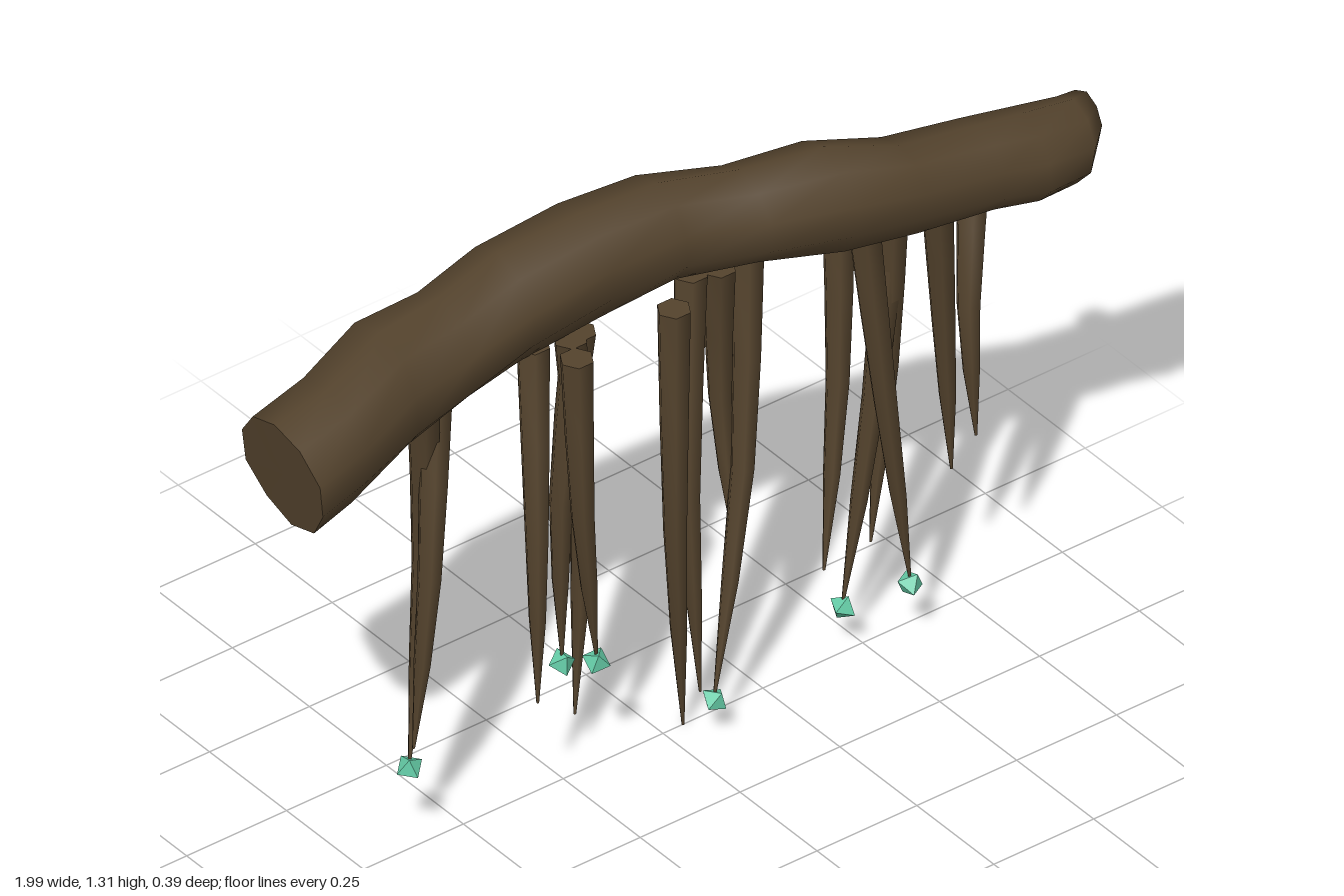
import * as THREE from 'three';

const bark = new THREE.MeshStandardMaterial({ color: 0x54432d });
bark.name = 'bark brown';
const jade = new THREE.MeshStandardMaterial({ color: 0x64cba6 });
jade.name = 'jade green';

// Skin a list of rings; place(ring, cos, sin, side) gives each corner.
function loft(rings, sides, place) {
  const pos = [], index = [];
  rings.forEach((ring, i) => {
    for (let j = 0; j < sides; j++) {
      const a = (j / sides) * Math.PI * 2;
      pos.push(...place(ring, Math.cos(a), Math.sin(a), j));
      if (i === rings.length - 1) continue;
      const p = i * sides + j, q = i * sides + ((j + 1) % sides);
      index.push(p, q, p + sides, q, q + sides, p + sides);
    }
  });
  const g = new THREE.BufferGeometry();
  g.setAttribute('position', new THREE.Float32BufferAttribute(pos, 3));
  g.setIndex(index);
  g.computeVertexNormals();
  return g;
}

// Log sections: x, centre y, centre z, radius
const logSections = [
  [-0.975, 1.097, 0.03, 0.132],
  [-0.85, 1.115, 0.012, 0.13],
  [-0.68, 1.14, -0.04, 0.132],
  [-0.52, 1.155, -0.054, 0.12],
  [-0.36, 1.183, -0.072, 0.125],
  [-0.16, 1.205, -0.066, 0.118],
  [0.02, 1.212, -0.05, 0.109],
  [0.2, 1.19, -0.008, 0.106],
  [0.37, 1.188, 0.04, 0.12],
  [0.54, 1.155, 0.068, 0.1],
  [0.72, 1.134, 0.085, 0.096],
  [0.82, 1.122, 0.102, 0.1],
  [0.935, 1.106, 0.098, 0.09],
  [0.985, 1.125, 0.083, 0.062],
];

// Hanging roots: x at top, middle and tip, y of tip, z at top, middle and tip
const gemRoots = [
  [-0.6, -0.565, -0.635, 0.22, 0, -0.045, 0],
  [-0.27, -0.255, -0.19, 0.3, 0.07, 0.07, 0.03],
  [-0.21, -0.248, -0.23, 0.28, 0, -0.01, -0.03],
  [0.235, 0.18, 0.075, 0.11, -0.03, 0.025, 0.07],
  [0.45, 0.505, 0.58, 0.16, 0.07, 0.07, 0.05],
  [0.58, 0.52, 0.45, 0.13, 0, 0.01, 0],
];
const bareRoots = [
  [-0.545, -0.608, -0.64, 0.27, -0.03, 0.03, 0.02],
  [-0.31, -0.355, -0.36, 0.28, -0.02, 0.05, 0.06],
  [-0.24, -0.173, -0.19, 0.12, 0.01, -0.04, -0.04],
  [-0.015, -0.02, 0.05, 0.01, 0.055, 0.065, 0],
  [0.085, 0.04, 0.07, 0.1, -0.02, 0.03, 0.03],
  [0.14, 0.162, 0.165, 0.41, 0, -0.025, 0.02],
  [0.47, 0.445, 0.38, 0.26, -0.04, -0.01, 0.03],
  [0.56, 0.56, 0.52, 0.25, 0.02, 0, 0],
  [0.65, 0.695, 0.73, 0.33, 0.045, 0.01, -0.01],
  [0.81, 0.73, 0.745, 0.44, -0.035, 0.045, 0.05],
];

// Crooked log: sharp cut at the thick end, rounded at the thin end
function logGeometry() {
  const first = logSections[0], last = logSections[logSections.length - 1];
  const closed = ([x, y, z]) => [x, y, z, 0];
  const rings = [closed(first), first, ...logSections, closed(last)];
  return loft(rings, 10, ([x, y, z, r], c, s, j) => {
    const lean = x < -0.95 ? -0.16 : x > 0.9 ? 0.2 : 0;
    const bump = 1 + 0.035 * Math.sin(j * 2.3 + x * 9);
    return [x + lean * r * c, y + r * c * bump, z + r * s * bump];
  });
}

// Bowed root tapering to a point, with a flat closed top
function rootGeometry([xTop, xMid, xTip, yTip, zTop, zMid, zTip]) {
  const yTop = 1.09;
  const path = new THREE.CatmullRomCurve3([
    new THREE.Vector3(xTop, yTop, zTop),
    new THREE.Vector3(xMid, (yTop + yTip) / 2, zMid),
    new THREE.Vector3(xTip, yTip, zTip),
  ]);
  const rings = path.getPoints(4).map((p, i) => ({ p, r: 0.003 + 0.033 * Math.pow(1 - i / 4, 0.55) }));
  rings.unshift({ p: rings[0].p, r: 0 }, rings[0]);
  rings.push({ p: rings[rings.length - 1].p, r: 0 });
  return loft(rings, 6, ({ p, r }, c, s) => [p.x + r * c, p.y, p.z + r * s]);
}

export function createModel() {
  const model = new THREE.Group();
  model.name = 'rootHungLog';
  const add = (geometry, material, name) => {
    const mesh = new THREE.Mesh(geometry, material);
    mesh.name = name;
    model.add(mesh);
    return mesh;
  };

  add(logGeometry(), bark, 'log');
  bareRoots.forEach((root, n) => add(rootGeometry(root), bark, 'bareRoot' + (n + 1)));

  // Roots with a small faceted gem on the tip
  gemRoots.forEach((root, n) => {
    add(rootGeometry(root), bark, 'gemRoot' + (n + 1));
    const gem = add(new THREE.OctahedronGeometry(0.03), jade, 'gem' + (n + 1));
    gem.position.set(root[2], root[3] - 0.01, root[6]);
    gem.rotation.set(0.4, n * 0.7, 0.3);
  });
  return model;
}
